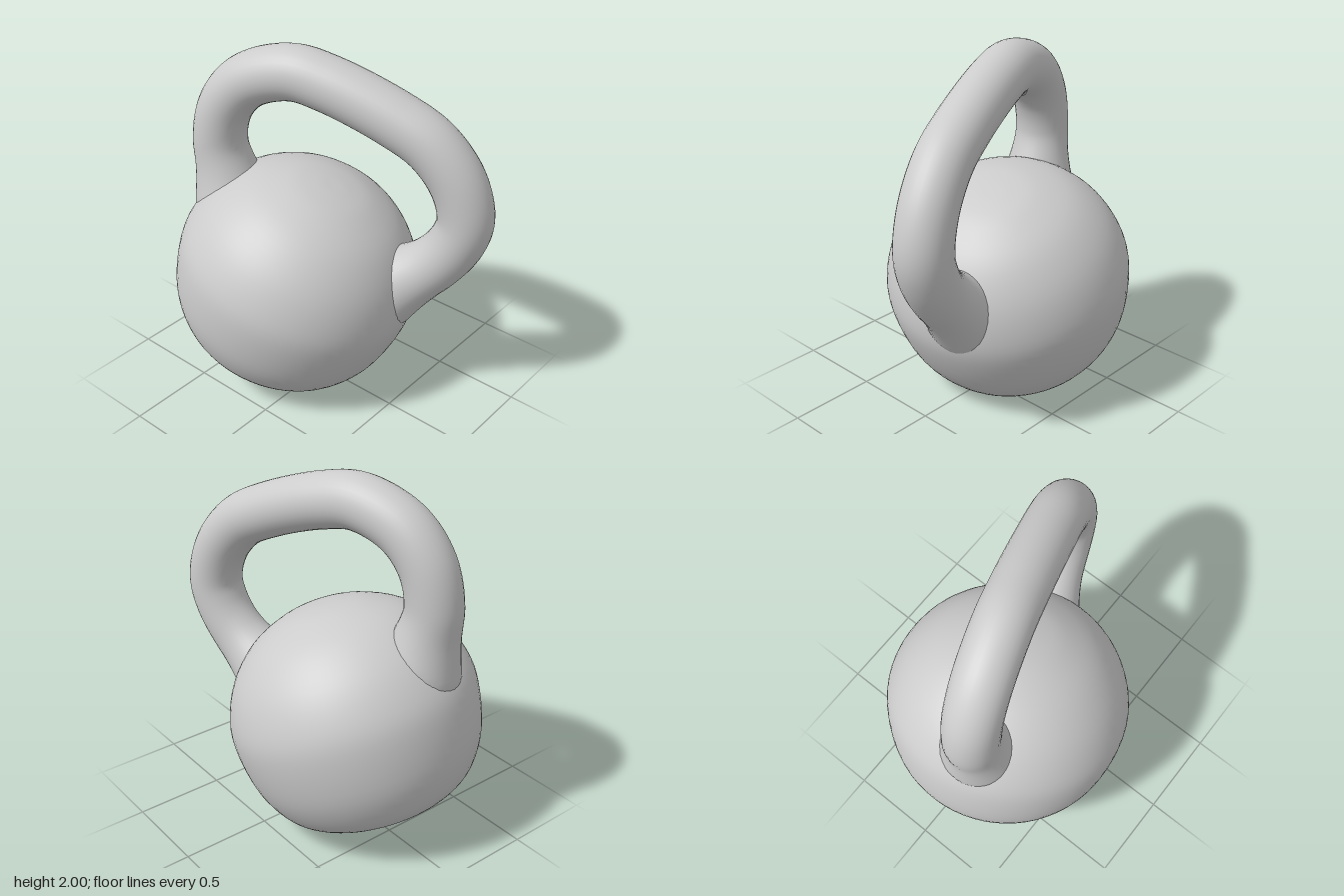
import * as THREE from 'three';
import { mergeVertices } from 'three/addons/utils/BufferGeometryUtils.js';

const material = new THREE.MeshStandardMaterial({ color: 0xcccccc });
const centre = new THREE.Vector3(-0.19, 0.625, 0.01);
const yaw = 0.303, tilt = -0.35;

// Weld the seam so the surface shades smoothly all round
function smooth(geometry) {
  geometry.deleteAttribute('uv');
  geometry.deleteAttribute('normal');
  const welded = mergeVertices(geometry, 1e-4);
  welded.computeVertexNormals();
  return welded;
}

// Round weight with a flat base: [radius, height] about its centre
function makeBody() {
  const profile = [
    [0.38, -0.515], [0.47, -0.485], [0.565, -0.4], [0.65, -0.23], [0.69, 0],
    [0.675, 0.17], [0.59, 0.36], [0.44, 0.52], [0.25, 0.617], [0.1, 0.648], [0, 0.652],
  ].map(([r, h]) => new THREE.Vector2(r, h));
  const points = [new THREE.Vector2(0, -0.515), new THREE.Vector2(0.2, -0.515),
    ...new THREE.SplineCurve(profile).getPoints(40)];
  points[points.length - 1].x = 0;
  const body = new THREE.Mesh(new THREE.LatheGeometry(points, 64), material);
  body.geometry.deleteAttribute('uv');
  body.position.copy(centre);
  body.rotation.set(0, yaw, tilt);
  body.name = 'body';
  return body;
}

// Looped handle in a vertical plane, its feet flaring into the body
function makeHandle() {
  const path = new THREE.CatmullRomCurve3([
    [-0.5, 0.8], [-0.58, 1.02], [-0.61, 1.23], [-0.622, 1.4], [-0.57, 1.61], [-0.44, 1.765],
    [-0.2, 1.85], [0, 1.82], [0.35, 1.69], [0.54, 1.58], [0.68, 1.4], [0.733, 1.2],
    [0.7, 1.06], [0.6, 0.9], [0.44, 0.73], [0.25, 0.55],
  ].map(([x, y]) => new THREE.Vector3(x, y, -0.313 * x - 0.048)), false, 'centripetal');
  const geometry = new THREE.TubeGeometry(path, 120, 0.15, 32);
  const { position, normal } = geometry.attributes;
  const p = new THREE.Vector3(), n = new THREE.Vector3();
  for (let i = 0; i < position.count; i++) {
    p.fromBufferAttribute(position, i);
    n.fromBufferAttribute(normal, i);
    const gap = Math.max(0, p.distanceTo(centre) - 0.66);
    const flare = 0.05 * Math.max(0, 1 - gap / 0.25) ** 2;
    p.addScaledVector(n, flare);
    position.setXYZ(i, p.x, p.y, p.z);
  }
  const handle = new THREE.Mesh(smooth(geometry), material);
  handle.name = 'handle';
  return handle;
}

export function createModel() {
  const group = new THREE.Group();
  group.name = 'kettlebell';
  group.add(makeBody(), makeHandle());
  return group;
}
